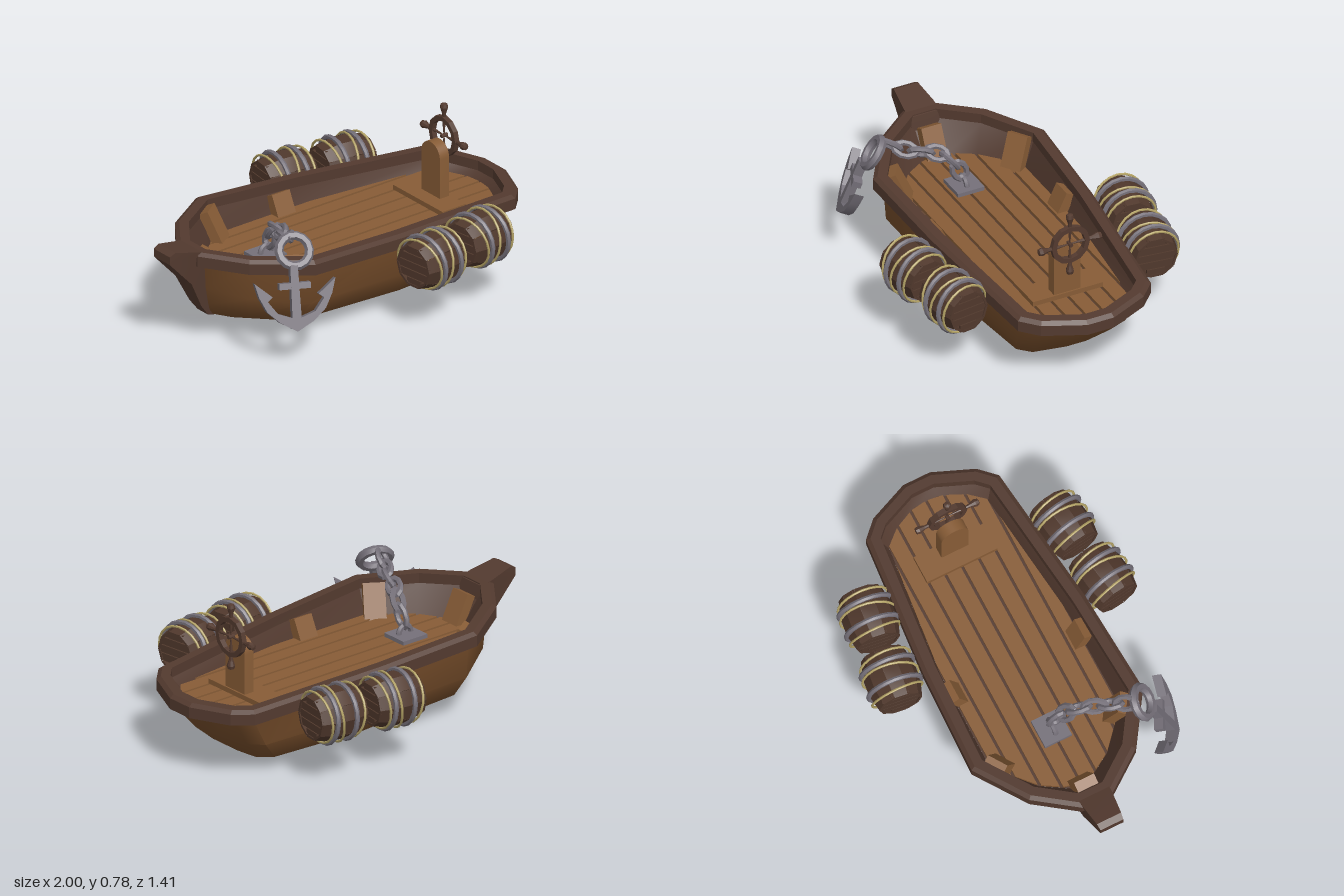
import * as THREE from 'three';
import { toCreasedNormals } from 'three/addons/utils/BufferGeometryUtils.js';

const mat = (name, color, side = THREE.FrontSide) => Object.assign(new THREE.MeshStandardMaterial({ color, side }), { name });

// mesh with mostly sharp edges; a larger crease angle gives smoother shading
function part(name, geo, material, parent, pos = [0, 0, 0], crease = 0.4) {
  const mesh = new THREE.Mesh(toCreasedNormals(geo, crease), material);
  mesh.name = name;
  mesh.position.set(...pos);
  parent.add(mesh);
  return mesh;
}

const group = (name, parent) => {
  const g = new THREE.Group();
  g.name = name;
  parent.add(g);
  return g;
};

// half outline (bow to stern) continued down the other side
const mirrorLoop = half => [...half, ...half.slice().reverse().map(([x, z]) => [x, -z])];

// push a closed plan outline outward by d
function offset(loop, d) {
  const n = loop.length;
  const normal = (a, b) => {
    const l = Math.hypot(b[0] - a[0], b[1] - a[1]);
    return [-(b[1] - a[1]) / l, (b[0] - a[0]) / l];
  };
  return loop.map((p, i) => {
    const a = normal(loop[(i + n - 1) % n], p), b = normal(p, loop[(i + 1) % n]);
    const k = d / (1 + a[0] * b[0] + a[1] * b[1]);
    return [p[0] + (a[0] + b[0]) * k, p[1] + (a[1] + b[1]) * k];
  });
}

// skin a list of closed rings of [x, y, z]
function loft(rings, { wrap = false, cap = false } = {}) {
  const n = rings[0].length, index = [];
  for (let j = 0; j < rings.length - (wrap ? 0 : 1); j++) {
    const k = (j + 1) % rings.length;
    for (let i = 0; i < n; i++) {
      const m = (i + 1) % n;
      const a = j * n + i, b = j * n + m, c = k * n + m, d = k * n + i;
      index.push(a, b, c, a, c, d);
    }
  }
  if (cap) for (let i = 0; i < n / 2 - 1; i++) {
    const p = i, q = n - 1 - i;
    index.push(p, q, q - 1, p, q - 1, p + 1);
  }
  const geo = new THREE.BufferGeometry();
  geo.setAttribute('position', new THREE.Float32BufferAttribute(rings.flat(2), 3));
  geo.setIndex(index);
  geo.computeVertexNormals();
  return geo;
}

const shapeOf = pts => new THREE.Shape(pts.map(p => new THREE.Vector2(...p)));
const slab = (pts, depth) => new THREE.ExtrudeGeometry(shapeOf(pts), { depth, bevelEnabled: false, curveSegments: 6 });

export function createModel() {
  const model = new THREE.Group();
  model.name = 'rowingBoat';
  const hullWood = mat('hull wood', 0x734b29);
  const deckWood = mat('deck wood', 0x875c36);
  const railWood = mat('rail wood', 0x533a2f);
  const barrelWood = mat('barrel wood', 0x50382c, THREE.DoubleSide);
  const iron = mat('iron', 0x757079);
  const rope = mat('rope', 0xb3a265);

  // rail
  const railTop = x => 0.438 - 0.063 * x;
  const outline = mirrorLoop([[-0.85, 0.08], [-0.7, 0.28], [-0.44, 0.45], [0.1, 0.425], [0.83, 0.35], [0.91, 0.27], [0.995, 0.07]]);
  const railRing = (d, dy) => offset(outline, d).map(([x, z]) => [x, railTop(x) + dy, z]);
  part('rail', loft([railRing(0, -0.07), railRing(0, -0.015), railRing(-0.02, 0), railRing(-0.065, 0), railRing(-0.065, -0.07)], { wrap: true }), railWood, model, [0, 0, 0], 0.2);

  // hull: keel outline blended up to the rail by [height, x, z] fractions, slimmer low down at the bow
  const keel = [[-0.74, 0.13, 0.03], [-0.62, 0.08, 0.05], [-0.42, 0.025, 0.08], [0.2, 0.008, 0.08], [0.55, 0, 0.07], [0.62, 0.01, 0.06], [0.66, 0.03, 0.02]];
  const keelLoop = [...keel, ...keel.slice().reverse().map(([x, y, z]) => [x, y, -z])];
  const top = railRing(-0.045, -0.05);
  const levels = [[0, 0, 0], [0.07, 0.1, 0.44], [0.2, 0.3, 0.78], [0.5, 0.66, 0.97], [1, 1, 1]];
  const lerp = THREE.MathUtils.lerp;
  const hullRings = levels.map(([fy, fx, fz]) => top.map((t, i) => {
    const k = keelLoop[i];
    const f = k[0] < -0.4 ? fz ** 1.5 : fz;
    return [lerp(k[0], t[0], fx), lerp(k[1], t[1], fy), lerp(k[2], t[2], f)];
  }));
  part('hull', loft(hullRings, { cap: true }), hullWood, model, [0, 0, 0], 0.8);

  // bow stem, narrower towards the keel and the tip
  const stem = slab([[-1, 0.47], [-0.87, 0.33], [-0.8, 0.19], [-0.755, 0.13], [-0.72, 0.12], [-0.76, 0.38], [-0.78, 0.48], [-0.84, 0.495], [-0.97, 0.525], [-1, 0.51]], 0.12);
  stem.translate(0, 0, -0.06);
  const sp = stem.attributes.position;
  for (let i = 0; i < sp.count; i++)
    sp.setZ(i, sp.getZ(i) * Math.min(1 + (sp.getX(i) + 1) * 2, 0.4 + sp.getY(i) * 1.9));
  part('bowStem', stem, railWood, model);

  // inner walls and dark floor under the planks
  const deckY = 0.305;
  const deckHalf = [[-0.68, 0.05], [-0.6, 0.18], [-0.42, 0.34], [0.1, 0.335], [0.77, 0.26], [0.83, 0.2], [0.895, 0.06]];
  const deckLoop = mirrorLoop(deckHalf);
  part('innerWalls', loft([railRing(-0.065, -0.05), deckLoop.map(([x, z]) => [x, deckY - 0.02, z])]), railWood, model);
  part('floor', slab(deckLoop, 0.006).rotateX(Math.PI / 2), railWood, model, [0, deckY - 0.013, 0]);

  // deck planks trimmed to the outline
  const edgeX = (pts, z) => {
    const i = Math.max(1, pts.findIndex(p => p[1] >= z));
    const [a, b] = [pts[i - 1], pts[i]];
    return lerp(a[0], b[0], Math.max(0, (z - a[1]) / (b[1] - a[1])));
  };
  const bowSide = deckHalf.slice(0, 3), sternSide = deckHalf.slice(3).reverse();
  const planks = group('deckPlanks', model);
  for (const s of [1, -1]) for (let k = 0; k < 4; k++) {
    const z0 = k * 0.088 + 0.007, z1 = Math.min((k + 1) * 0.088 - 0.007, 0.33);
    const pts = [[edgeX(bowSide, z0), s * z0], [edgeX(sternSide, z0), s * z0], [edgeX(sternSide, z1), s * z1], [edgeX(bowSide, z1), s * z1]];
    part('plank', slab(pts, 0.014).rotateX(Math.PI / 2), deckWood, planks, [0, deckY, 0]);
  }

  // ribs leaning on the walls
  const rib = (x, z, yaw, height) => {
    const r = part('rib', new THREE.BoxGeometry(0.105, height, 0.05), deckWood, model, [x, 0.285 + height * 0.45, z]);
    r.rotation.set(0.45, yaw, 0, 'YXZ');
  };
  rib(-0.7, 0, -Math.PI / 2, 0.17);
  for (const [x, z, yaw, height] of [[-0.445, 0.305, -0.58, 0.18], [-0.03, 0.325, 0, 0.12]]) {
    rib(x, z, yaw, height);
    rib(x, -z, Math.PI - yaw, height);
  }

  // steering stand
  part('standBase', new THREE.BoxGeometry(0.14, 0.025, 0.37), deckWood, model, [0.595, deckY + 0.012, 0]);
  const arch = new THREE.Shape();
  arch.moveTo(-0.07, 0).lineTo(0.07, 0).lineTo(0.07, 0.22);
  arch.absarc(0, 0.22, 0.07, 0, Math.PI);
  part('standPost', new THREE.ExtrudeGeometry(arch, { depth: 0.055, bevelEnabled: false, curveSegments: 8 }).rotateY(Math.PI / 2), deckWood, model, [0.602, 0.31, 0]);

  // steering wheel
  const wheel = group('steeringWheel', model);
  wheel.position.set(0.682, 0.61, 0);
  wheel.rotation.y = Math.PI / 2;
  const rim = new THREE.Shape().absarc(0, 0, 0.1, 0, Math.PI * 2);
  rim.holes.push(new THREE.Path().absarc(0, 0, 0.076, 0, Math.PI * 2, true));
  part('rim', new THREE.ExtrudeGeometry(rim, { depth: 0.026, bevelEnabled: false, curveSegments: 6 }), railWood, wheel, [0, 0, -0.013]);
  part('hub', new THREE.CylinderGeometry(0.01, 0.01, 0.035, 8).rotateX(Math.PI / 2), railWood, wheel);
  const handle = [[0, 0.01], [0.003, 0.01], [0.009, 0.08], [0.01, 0.115], [0.013, 0.125], [0.02, 0.147], [0.016, 0.163], [0, 0.168]].map(p => new THREE.Vector2(...p));
  for (let i = 0; i < 4; i++)
    part('spoke', new THREE.LatheGeometry(handle, 8), railWood, wheel).rotation.z = i * Math.PI / 2;

  // barrels slung along both sides
  const staveProfile = [[0.106, -0.128], [0.127, -0.045], [0.127, 0.045], [0.106, 0.128], [0.094, 0.128], [0.114, 0.04], [0.114, -0.04], [0.094, -0.128], [0.106, -0.128]].map(p => new THREE.Vector2(...p));
  const barrel = (x, z, side) => {
    const b = group('barrel', model);
    b.position.set(x, 0.337, z * side);
    b.rotation.y = side * 0.13;
    const hoop = (name, r, tube, px, material, ry, rz) => {
      const h = part(name, new THREE.TorusGeometry(r, tube, 6, 20), material, b, [px, 0, 0], 0.9);
      h.rotation.set(0, Math.PI / 2 + ry, rz, 'ZYX');
    };
    const step = Math.PI * 2 / 10;
    for (let i = 0; i < 10; i++)
      part('stave', new THREE.LatheGeometry(staveProfile, 1, i * step, step * 0.95).rotateZ(Math.PI / 2), barrelWood, b);
    for (const e of [-1, 1]) for (let i = -2; i <= 2; i++) {
      const y = i * 0.041, w = 2 * Math.sqrt(0.104 ** 2 - (Math.abs(y) + 0.012) ** 2);
      part('headPlank', new THREE.BoxGeometry(0.012, 0.036, w), barrelWood, b, [e * 0.116, y, 0]);
    }
    for (const px of [-0.045, 0.06]) hoop('ironHoop', 0.132, 0.012, px, iron, 0.03, 0.04);
    hoop('ropeLoop', 0.13, 0.006, -0.08, rope, 0.1, 0.14);
    hoop('ropeLoop', 0.136, 0.006, 0.015, rope, -0.08, -0.1);
    hoop('ropeLoop', 0.127, 0.006, 0.09, rope, 0.06, -0.08);
  };
  for (const side of [1, -1]) {
    barrel(0.17, 0.555, side);
    barrel(0.485, 0.51, side);
  }

  // anchor hanging over the rail
  const anchor = group('anchor', model);
  anchor.position.set(-0.615, 0.19, 0.53);
  anchor.rotation.set(-0.35, -0.44, -0.02, 'YXZ');
  const arm = [[0, 0], [0.08, 0.045], [0.14, 0.1], [0.175, 0.17], [0.194, 0.24], [0.11, 0.17], [0.135, 0.15], [0.09, 0.09], [0.022, 0.065], [0.018, 0.31]];
  const anchorPts = [...arm, ...arm.slice(1).reverse().map(([x, y]) => [-x, y])];
  part('shankAndArms', slab(anchorPts, 0.045), iron, anchor, [0, 0, -0.022]);
  part('stock', new THREE.BoxGeometry(0.15, 0.03, 0.045), iron, anchor, [0, 0.215, 0]);
  part('anchorRing', new THREE.TorusGeometry(0.073, 0.022, 6, 14), iron, anchor, [0.015, 0.375, -0.025]).rotation.x = -0.25;

  // chain from the anchor ring to the deck plate
  const chain = group('chain', model);
  const path = new THREE.CatmullRomCurve3([[-0.525, 0.58, 0.35], [-0.485, 0.545, 0.28], [-0.445, 0.525, 0.2], [-0.41, 0.505, 0.11], [-0.38, 0.42, 0.035], [-0.38, 0.37, 0.01]].map(p => new THREE.Vector3(...p)));
  const links = 6, xAxis = new THREE.Vector3(1, 0, 0);
  for (let i = 0; i < links; i++) {
    const u = (i + 0.45) / links;
    const link = part('link', new THREE.TorusGeometry(0.034, 0.014, 6, 10).scale(1.5, 1, 1), iron, chain, path.getPointAt(u).toArray());
    link.quaternion.setFromUnitVectors(xAxis, path.getTangentAt(u));
    link.rotateX(0.5 + (i % 2) * Math.PI / 2);
  }
  part('deckPlate', new THREE.BoxGeometry(0.145, 0.02, 0.14), iron, model, [-0.382, deckY + 0.012, 0]);
  part('plateShackle', new THREE.TorusGeometry(0.036, 0.014, 6, 8, Math.PI), iron, model, [-0.38, 0.33, 0.005]);

  return model;
}
